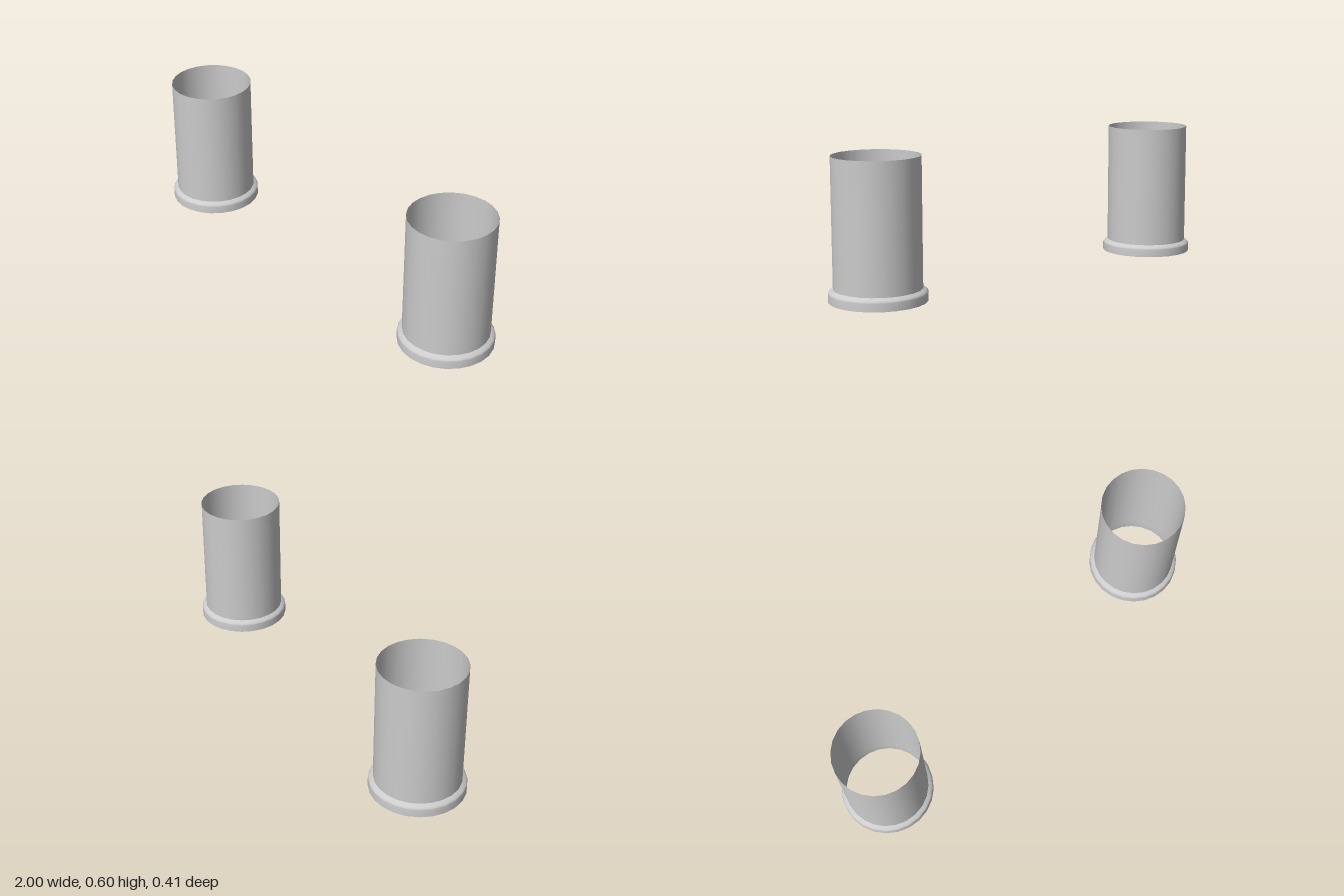
import * as THREE from 'three';

const SIDES = 24;
const TUBE_R = 0.185;
const FLANGE_R = 0.2055;
const HEIGHT = 0.6;
const CENTRE_X = 1 - FLANGE_R;

const material = new THREE.MeshStandardMaterial({ color: 0xcccccc, side: THREE.DoubleSide });

// Revolved strip from [radius, height] points
function revolve(name, points) {
  const profile = points.map(([r, y]) => new THREE.Vector2(r, y));
  const mesh = new THREE.Mesh(new THREE.LatheGeometry(profile, SIDES), material);
  mesh.name = name;
  return mesh;
}

function createSleeve(name) {
  const sleeve = new THREE.Group();
  sleeve.name = name;
  sleeve.add(
    // Thin open tube
    revolve('tube', [[TUBE_R, 0.05], [TUBE_R, HEIGHT]]),
    // Collar at the foot: straight band with a rounded shoulder
    revolve('collar', [
      [FLANGE_R, 0], [FLANGE_R, 0.034], [0.203, 0.04],
      [0.198, 0.045], [0.191, 0.049], [TUBE_R, 0.053],
    ]),
    // Flat underside of the collar
    revolve('collarUnderside', [[0.188, 0], [FLANGE_R, 0]]),
    // Slightly flared lining inside the collar
    revolve('collarLining', [[TUBE_R, 0.05], [0.186, 0.03], [0.188, 0]]),
  );
  return sleeve;
}

export function createModel() {
  const model = new THREE.Group();
  model.name = 'sleevePair';
  for (const side of [1, -1]) {
    const sleeve = createSleeve(side > 0 ? 'leftSleeve' : 'rightSleeve');
    sleeve.position.x = side * CENTRE_X;
    model.add(sleeve);
  }
  return model;
}
